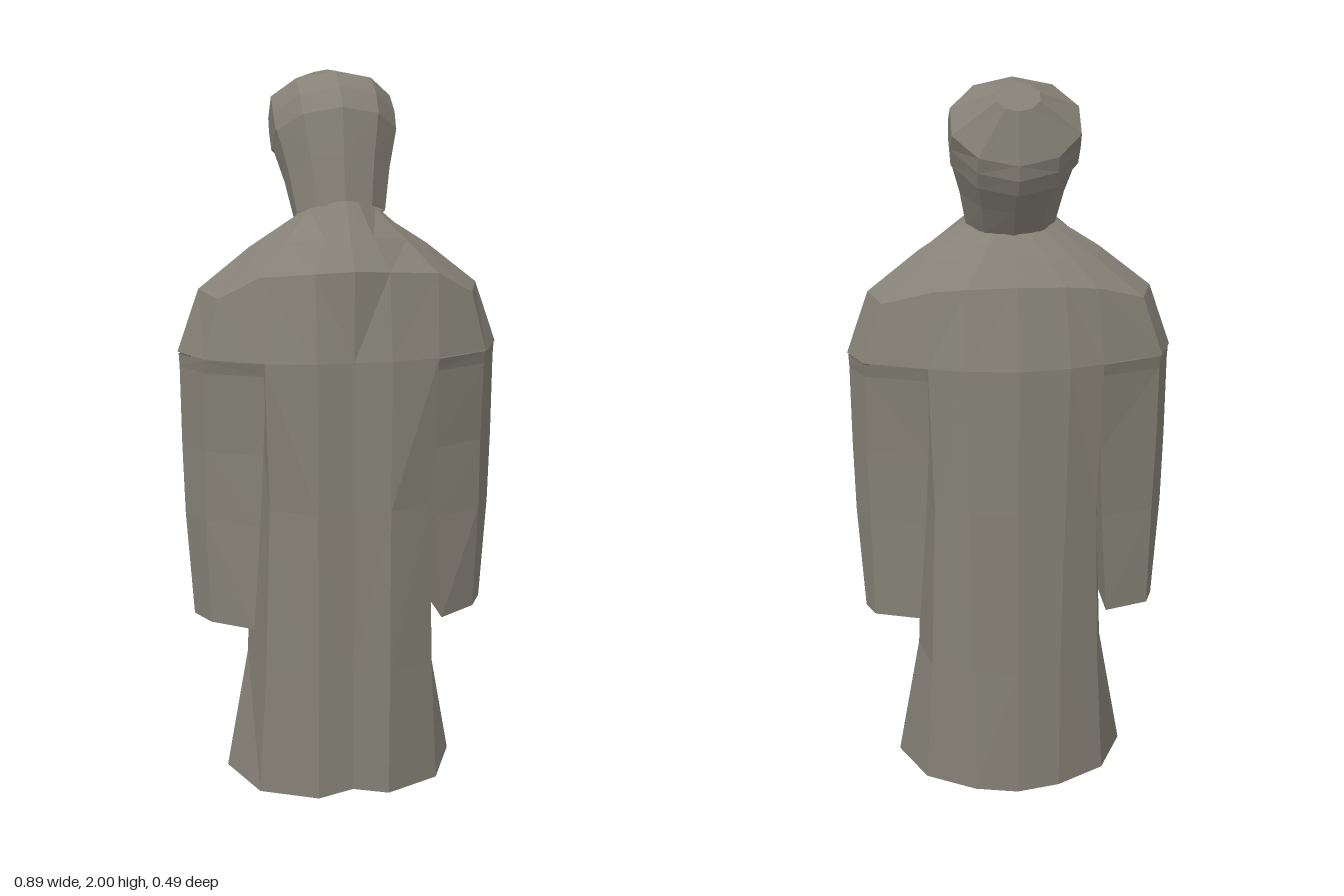
import * as THREE from 'three';

const stone = new THREE.MeshStandardMaterial({ color: 0x858176, side: THREE.DoubleSide });
stone.name = 'grey stone';

// Faceted skin over closed loops, listed top to bottom, each running front -> left -> back
function loft(name, rings, { capTop = false, capBottom = false } = {}) {
  const out = [];
  const tri = (a, b, c) => out.push(...a, ...b, ...c);
  const n = rings[0].length;
  for (let r = 0; r < rings.length - 1; r++) {
    for (let i = 0; i < n; i++) {
      const j = (i + 1) % n;
      const [a, b, c, d] = [rings[r][i], rings[r][j], rings[r + 1][i], rings[r + 1][j]];
      // Diagonals mirror across the middle
      if (i < n / 2) {
        tri(a, c, b);
        tri(b, c, d);
      } else {
        tri(a, c, d);
        tri(a, d, b);
      }
    }
  }
  const top = rings[0], end = rings[rings.length - 1];
  for (let i = 1; i < n - 1; i++) {
    if (capTop) tri(top[0], top[i], top[i + 1]);
    if (capBottom) tri(end[0], end[i + 1], end[i]);
  }
  const geo = new THREE.BufferGeometry();
  geo.setAttribute('position', new THREE.Float32BufferAttribute(out, 3));
  geo.computeVertexNormals();
  const mesh = new THREE.Mesh(geo, stone);
  mesh.name = name;
  return mesh;
}

// Completes a half loop (front centre to back centre) with its mirror image
const whole = (half) => [
  ...half,
  ...half.slice(1, -1).reverse().map(([x, y, z]) => [-x, y, z]),
];

// Level loop at height y from [x, z] pairs
const level = (y, pairs) => pairs.map(([x, z]) => [x, y, z]);

// Tilted ten-sided ring through a front and a back point [z, y]
function tilted(front, back, halfWidth) {
  const sides = 10;
  return Array.from({ length: sides }, (_, i) => {
    const a = (i / sides) * Math.PI * 2;
    const t = (1 - Math.cos(a)) / 2;
    return [
      (Math.sin(a) * halfWidth) / Math.sin(Math.PI * 0.4),
      THREE.MathUtils.lerp(front[1], back[1], t),
      THREE.MathUtils.lerp(front[0], back[0], t),
    ];
  });
}

export function createModel() {
  const group = new THREE.Group();
  group.name = 'robedFigure';

  // Sloping shoulders, from the collar down to where the sleeves part
  group.add(loft('shoulders', [
    [[0, 1.67, 0.105], [0.035, 1.665, 0.1], [0.09, 1.645, 0.055], [0.115, 1.63, 0.025], [0.12, 1.62, 0],
      [0.11, 1.61, -0.03], [0.085, 1.6, -0.065], [0.045, 1.597, -0.085], [0, 1.595, -0.09]],
    [[0, 1.585, 0.17], [0.065, 1.577, 0.155], [0.165, 1.563, 0.11], [0.228, 1.53, 0.072], [0.245, 1.54, 0],
      [0.228, 1.52, -0.067], [0.152, 1.535, -0.11], [0.087, 1.535, -0.132], [0, 1.535, -0.14]],
    [[0, 1.5, 0.235], [0.1, 1.492, 0.206], [0.24, 1.48, 0.165], [0.345, 1.42, 0.12], [0.385, 1.43, 0],
      [0.35, 1.42, -0.105], [0.22, 1.46, -0.155], [0.13, 1.47, -0.177], [0, 1.475, -0.19]],
    level(1.26, [[0, 0.235], [0.1, 0.245], [0.235, 0.21], [0.385, 0.125], [0.445, 0],
      [0.405, -0.11], [0.235, -0.18], [0.14, -0.215], [0, -0.235]]),
  ].map(whole)));

  // Long robe, flared and open at the hem
  group.add(loft('robe', [
    level(1.26, [[0, 0.235], [0.1, 0.245], [0.235, 0.21], [0.235, 0], [0.235, -0.18], [0.14, -0.215], [0, -0.235]]),
    level(0.85, [[0, 0.235], [0.1, 0.245], [0.222, 0.185], [0.245, 0], [0.222, -0.168], [0.13, -0.217], [0, -0.235]]),
    level(0.38, [[0, 0.232], [0.1, 0.245], [0.235, 0.172], [0.265, 0], [0.235, -0.156], [0.12, -0.216], [0, -0.232]]),
    [[0, 0.035, 0.23], [0.1, 0.022, 0.245], [0.255, 0.018, 0.162], [0.328, 0.03, 0],
      [0.255, 0.018, -0.147], [0.12, 0.008, -0.215], [0, 0, -0.23]],
  ].map(whole)));

  // Hanging sleeves with closed ends
  const sleeve = [
    level(1.255, [[0.225, 0.205], [0.385, 0.12], [0.442, 0], [0.402, -0.108], [0.225, -0.176]]),
    level(1.22, [[0.23, 0.19], [0.385, 0.11], [0.44, 0], [0.4, -0.1], [0.23, -0.165]]),
    level(1.0, [[0.235, 0.168], [0.385, 0.09], [0.438, 0], [0.4, -0.085], [0.235, -0.14]]),
    level(0.8, [[0.245, 0.16], [0.385, 0.085], [0.433, 0], [0.395, -0.075], [0.245, -0.125]]),
    level(0.505, [[0.265, 0.16], [0.375, 0.08], [0.414, 0], [0.39, -0.065], [0.265, -0.11]]),
  ];
  const mirror = (ring) => ring.map(([x, y, z]) => [-x, y, z]).reverse();
  group.add(loft('leftSleeve', sleeve, { capBottom: true }));
  group.add(loft('rightSleeve', sleeve.map(mirror), { capBottom: true }));

  // Leaning neck, flush with the head in front and set in below the back of the hood
  const neckTop = tilted([0.06, 1.91], [-0.19, 1.727], 0.163);
  group.add(loft('neck', [
    neckTop,
    tilted([0.083, 1.79], [-0.14, 1.66], 0.138),
    tilted([0.105, 1.66], [-0.09, 1.59], 0.12),
  ]));
  group.add(loft('head', [
    tilted([-0.18, 2.0], [-0.233, 1.935], 0.055),
    tilted([-0.06, 2.0], [-0.247, 1.8], 0.165),
    tilted([0.02, 1.96], [-0.24, 1.76], 0.167),
    tilted([0.06, 1.91], [-0.22, 1.72], 0.165),
    neckTop,
  ], { capTop: true }));

  return group;
}
